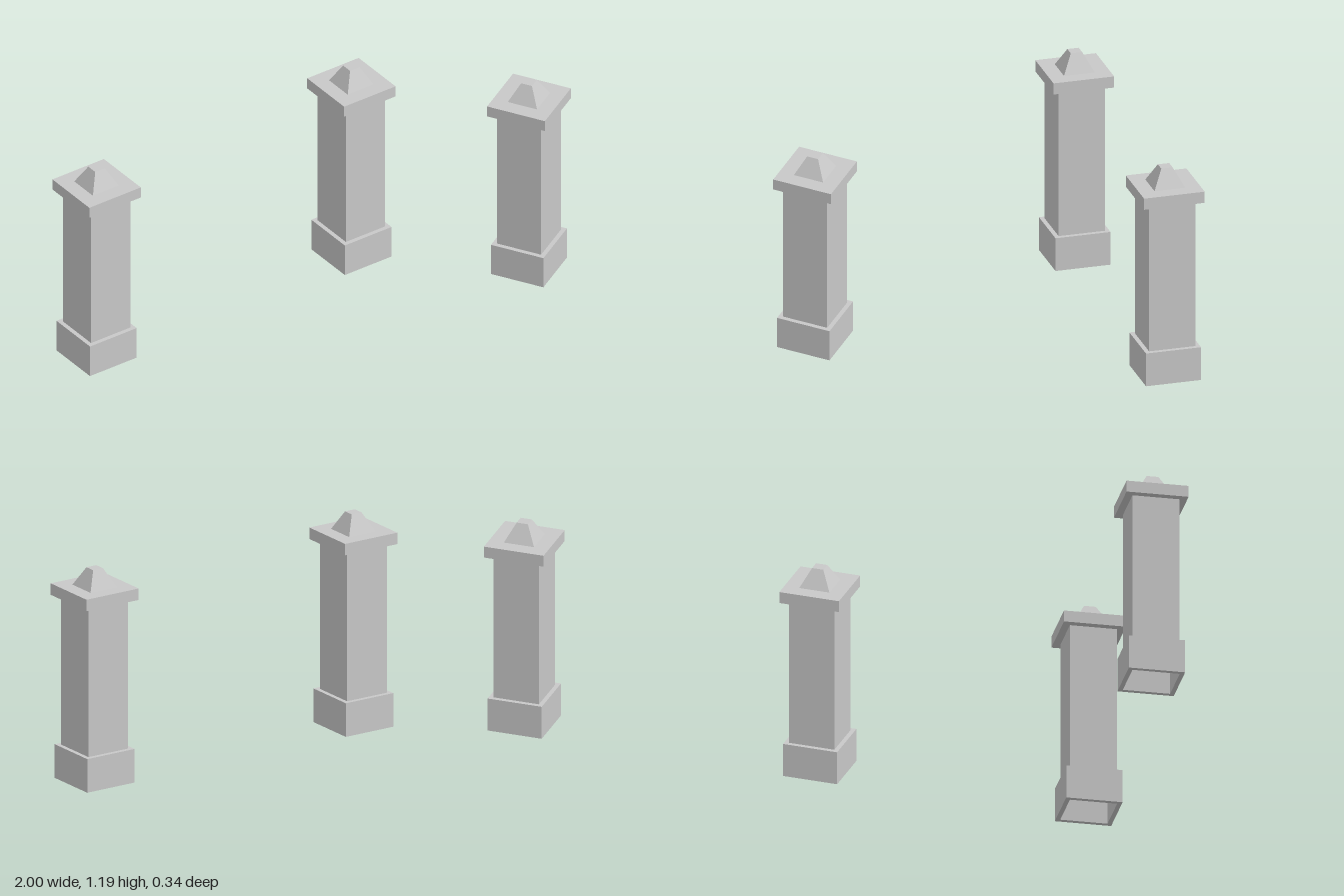
import * as THREE from 'three';

const stone = new THREE.MeshStandardMaterial({ color: 0xc8c8c8, flatShading: true });
stone.name = 'grey stone';

// Outline of a square centred on the origin
function square(PathType, size) {
  const h = size / 2;
  const path = new PathType();
  path.moveTo(-h, -h);
  path.lineTo(h, -h);
  path.lineTo(h, h);
  path.lineTo(-h, h);
  path.closePath();
  return path;
}

// Square block between two heights
function block(width, y0, y1) {
  return new THREE.BoxGeometry(width, y1 - y0, width).translate(0, (y0 + y1) / 2, 0);
}

// Square collar, hollow from below, that carries the shaft
function collar(outer, inner, height) {
  const shape = square(THREE.Shape, outer);
  shape.holes.push(square(THREE.Path, inner));
  return new THREE.ExtrudeGeometry(shape, { depth: height, bevelEnabled: false })
    .rotateX(-Math.PI / 2);
}

// Truncated pyramid between two heights
function frustum(bottom, top, y0, y1) {
  return new THREE.CylinderGeometry(top * Math.SQRT1_2, bottom * Math.SQRT1_2, y1 - y0, 4)
    .rotateY(Math.PI / 4)
    .translate(0, (y0 + y1) / 2, 0);
}

function createPillar(name) {
  const pillar = new THREE.Group();
  pillar.name = name;
  const parts = {
    base: collar(0.305, 0.256, 0.188),
    shaft: block(0.256, 0.17, 1.022),
    cap: block(0.336, 1.022, 1.086),
    finial: frustum(0.17, 0.063, 1.086, 1.188),
  };
  for (const [part, geometry] of Object.entries(parts)) {
    const mesh = new THREE.Mesh(geometry, stone);
    mesh.name = part;
    pillar.add(mesh);
  }
  return pillar;
}

export function createModel() {
  const model = new THREE.Group();
  model.name = 'gatePillars';
  // Matching pair, one on each side
  for (const side of [-1, 1]) {
    const pillar = createPillar(side > 0 ? 'leftPillar' : 'rightPillar');
    pillar.position.x = side * 0.832;
    model.add(pillar);
  }
  return model;
}
